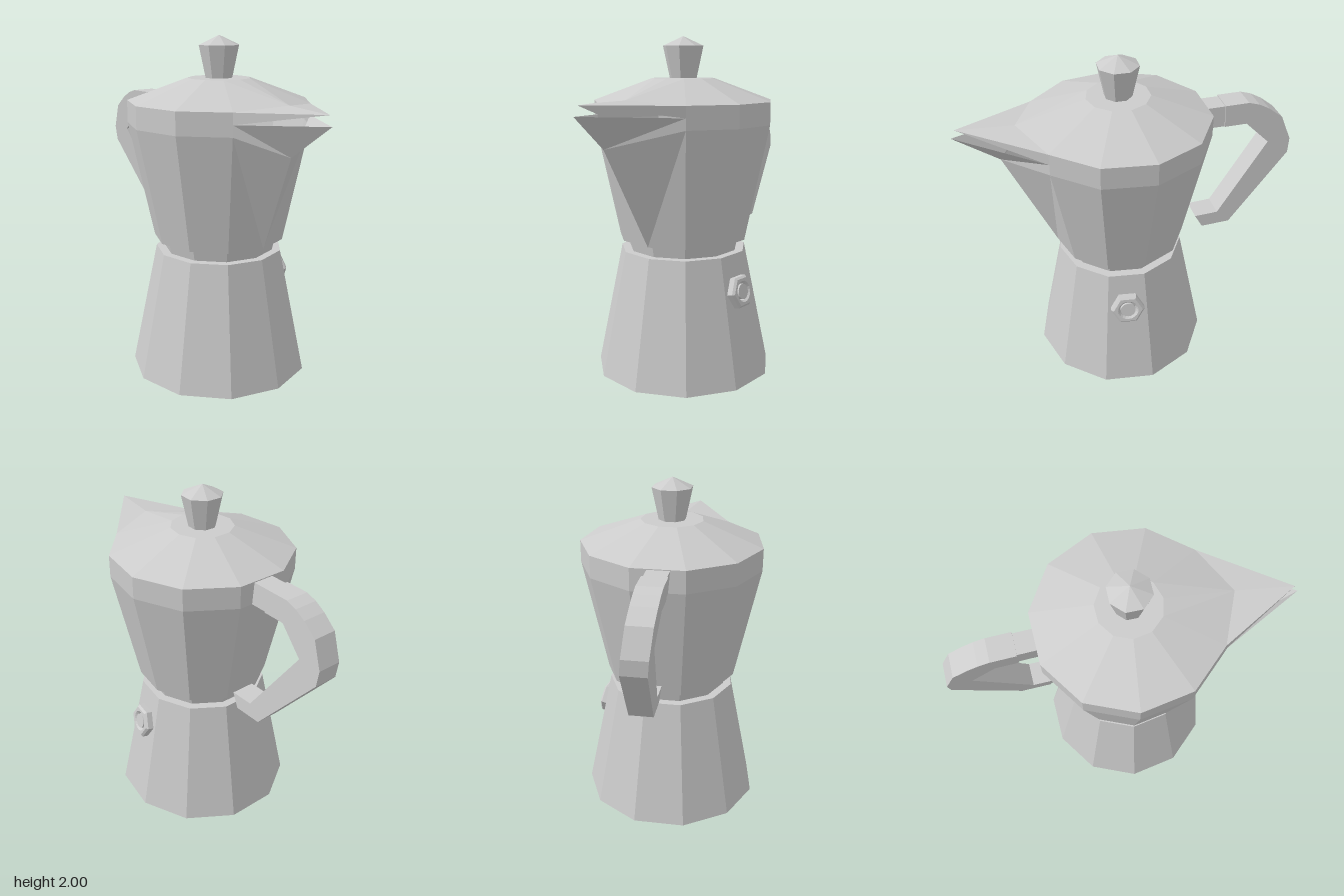
import * as THREE from 'three';

const SIDES = 11;
const CX = -0.013, CZ = 0.055; // axis of the pot
const V = (x, y, z) => new THREE.Vector3(x, y, z);
const material = (flat) => new THREE.MeshStandardMaterial({
  color: 0xcccccc, flatShading: flat, side: THREE.DoubleSide,
});

// One corner of the eleven-sided outline, and a whole ring of them
const corner = (i, r, y) => {
  const a = (i / SIDES) * Math.PI * 2;
  return V(CX + r * Math.cos(a), y, CZ + r * Math.sin(a));
};
const ring = (r, y) => Array.from({ length: SIDES }, (_, i) => corner(i, r, y));

// Triangles between consecutive rings; skip(row, side) leaves openings
function loft(rings, skip = () => false) {
  const tris = [];
  for (let k = 0; k < rings.length - 1; k++) {
    for (let i = 0; i < SIDES; i++) {
      if (skip(k, i)) continue;
      const j = (i + 1) % SIDES;
      const a = rings[k][i], b = rings[k][j], c = rings[k + 1][j], d = rings[k + 1][i];
      // mirror the diagonal on either side of the spout
      if (i === 1) tris.push(a, d, b, b, d, c);
      else tris.push(a, d, c, a, c, b);
    }
  }
  return tris;
}

function mesh(name, geometry, flat = true) {
  const m = new THREE.Mesh(geometry, material(flat));
  m.name = name;
  return m;
}

function triMesh(name, points, flat = true) {
  const g = new THREE.BufferGeometry().setFromPoints(points);
  g.computeVertexNormals();
  return mesh(name, g, flat);
}

const polygon = (pts) => new THREE.Shape(pts.map(([x, y]) => new THREE.Vector2(x, y)));

export function createModel() {
  const group = new THREE.Group();

  // Water chamber and neck
  group.add(triMesh('base', loft([ring(0, 0), ring(0.535, 0), ring(0.38, 0.75), ring(0, 0.75)])));
  group.add(triMesh('neck', loft([ring(0.33, 0.75), ring(0.345, 0.82)])));

  // Upper jug: corner 2 is pulled outward into the pouring spout
  const shoulder = ring(0.535, 1.5);
  const spoutRim = ring(0.535, 1.565);
  shoulder[2] = V(0.19, 1.4, 0.7);
  spoutRim[2] = V(0.31, 1.59, 0.925);
  group.add(triMesh('jug', loft(
    [ring(0, 0.82), ring(0.39, 0.82), shoulder, spoutRim, ring(0.535, 1.63)],
    (row, side) => row === 3 && (side === 1 || side === 2),
  )));

  // Shallow conical lid with a fold above the spout
  const rim = ring(0.535, 1.63);
  const fold = V(0.22, 1.655, 0.585);
  rim[2] = fold;
  group.add(triMesh('lid', loft([rim, ring(0.183, 1.76), ring(0, 1.76)])));

  // Beak of the lid and its side skirts
  const tip = V(0.308, 1.645, 0.9);
  const [l, r, lLow, rLow] = [rim[1], rim[3], spoutRim[1], spoutRim[3]];
  group.add(triMesh('lidBeak', [
    r, tip, fold, fold, tip, l,
    r, rLow, tip, l, tip, lLow,
  ]));

  // Octagonal knob with a pointed cap
  const knob = mesh('knob', new THREE.LatheGeometry(
    [[0, 1.76], [0.08, 1.76], [0.12, 1.945], [0, 2]].map(([x, y]) => new THREE.Vector2(x, y)), 8));
  knob.position.set(CX, 0, CZ);
  group.add(knob);

  // Handle opposite the spout, leaning slightly sideways
  const a = (7.5 / SIDES) * Math.PI * 2;
  const out = V(Math.cos(a), 0, Math.sin(a));
  const side = V(-out.z, 0, out.x);
  const lean = 0.09;
  const up = V(0, 1, 0).addScaledVector(side, -lean);
  const frame = new THREE.Matrix4().makeBasis(out, up, side)
    .setPosition(V(CX, 0, CZ).addScaledVector(side, 1.57 * lean));
  const handlePart = (name, pts, width) => {
    const g = new THREE.ExtrudeGeometry(polygon(pts), { depth: width, bevelEnabled: false });
    g.translate(0, 0, -width / 2).applyMatrix4(frame);
    group.add(mesh(name, g));
  };
  handlePart('handle', [
    [0.62, 1.5], [0.755, 1.5], [0.9, 1.36], [0.595, 0.92], [0.452, 0.915], [0.498, 0.835],
    [0.673, 0.84], [1.035, 1.27], [1.042, 1.36], [0.98, 1.51], [0.895, 1.575], [0.83, 1.61],
    [0.764, 1.63], [0.62, 1.63],
  ], 0.14);
  handlePart('handleBracket', [[0.49, 1.5], [0.62, 1.5], [0.62, 1.625], [0.49, 1.625]], 0.125);

  // Safety valve: bevelled hexagon with a round plug, square to its facet
  const valve = new THREE.Group();
  valve.name = 'valve';
  const hex = polygon(Array.from({ length: 6 }, (_, i) =>
    [0.088 * Math.cos(i * Math.PI / 3), 0.088 * Math.sin(i * Math.PI / 3)]));
  hex.holes.push(new THREE.Path().absarc(0, 0, 0.062, 0, Math.PI * 2, true));
  valve.add(mesh('valveNut', new THREE.ExtrudeGeometry(hex, {
    depth: 0.035, bevelThickness: 0.012, bevelSize: 0.012, bevelSegments: 1, curveSegments: 10,
  })));
  const plug = mesh('valvePlug', new THREE.CylinderGeometry(0.045, 0.045, 0.05, 20), false);
  plug.rotation.x = Math.PI / 2;
  plug.position.z = 0.018;
  valve.add(plug);
  const va = Math.PI / SIDES;
  valve.position.set(CX + 0.407 * Math.cos(va), 0.535, CZ - 0.407 * Math.sin(va));
  valve.rotation.set(-0.195, Math.PI / 2 + va, 0, 'YXZ');
  group.add(valve);

  return group;
}
